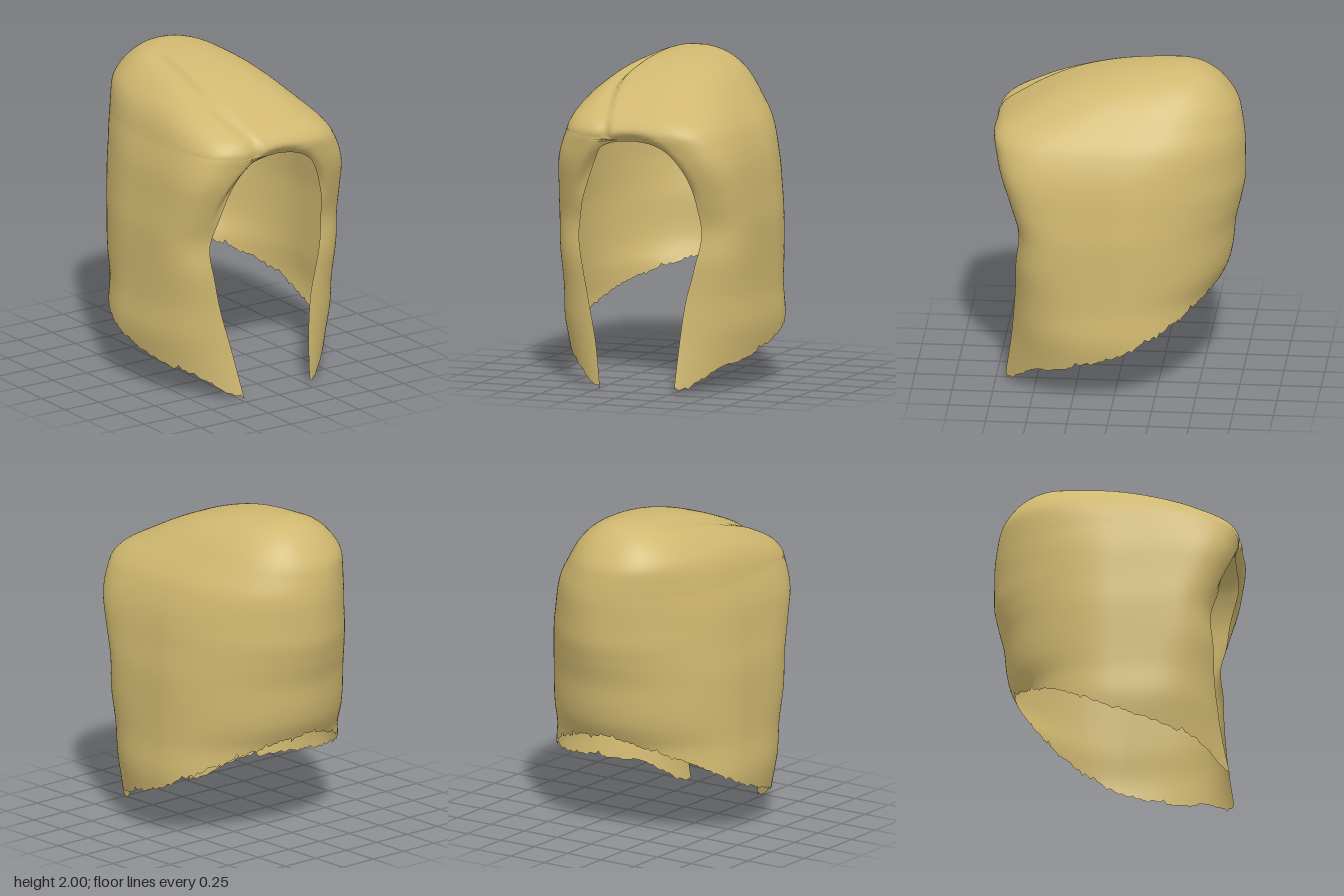
import * as THREE from 'three';
import { mergeVertices } from 'three/addons/utils/BufferGeometryUtils.js';

// Monotone cubic interpolation through [key, value] points
function curve(pts) {
  const n = pts.length;
  const sec = pts.slice(1).map((p, i) => (p[1] - pts[i][1]) / (p[0] - pts[i][0]));
  const m = pts.map((_, i) => {
    if (i === 0) return sec[0];
    if (i === n - 1) return sec[n - 2];
    const a = sec[i - 1], b = sec[i];
    return a * b <= 0 ? 0 : (2 * a * b) / (a + b);
  });
  return (k) => {
    if (k <= pts[0][0]) return pts[0][1];
    if (k >= pts[n - 1][0]) return pts[n - 1][1];
    let i = 0;
    while (k > pts[i + 1][0]) i++;
    const h = pts[i + 1][0] - pts[i][0], t = (k - pts[i][0]) / h;
    const t2 = t * t, t3 = t2 * t;
    return (2 * t3 - 3 * t2 + 1) * pts[i][1] + (t3 - 2 * t2 + t) * h * m[i]
      + (3 * t2 - 2 * t3) * pts[i + 1][1] + (t3 - t2) * h * m[i + 1];
  };
}
const { smoothstep } = THREE.MathUtils;

// Outline of the hair by height: half width, front, back, centre, sideways lean
const halfWidth = curve([[0, 0.6], [0.2, 0.635], [0.4, 0.66], [0.6, 0.645], [1, 0.64], [1.2, 0.62], [1.4, 0.595],
  [1.6, 0.535], [1.75, 0.455], [1.87, 0.35], [1.95, 0.23], [1.985, 0.12], [1.997, 0.05], [2, 0]]);
const front = curve([[0, 0.765], [0.15, 0.72], [0.35, 0.675], [0.6, 0.645], [0.8, 0.633], [1, 0.61], [1.2, 0.66],
  [1.4, 0.725], [1.5, 0.75], [1.6, 0.77], [1.66, 0.74], [1.75, 0.6], [1.85, 0.4], [1.92, 0.2], [1.965, 0],
  [1.99, -0.2], [2, -0.38]]);
const back = curve([[0.3, -0.56], [0.6, -0.6], [0.66, -0.63], [0.75, -0.67], [0.85, -0.69], [1, -0.705],
  [1.15, -0.74], [1.3, -0.765], [1.5, -0.763], [1.72, -0.73], [1.86, -0.65], [1.95, -0.55], [1.99, -0.45], [2, -0.38]]);
const centre = curve([[1.4, 0], [1.7, -0.05], [1.85, -0.15], [1.95, -0.27], [2, -0.38]]);
const lean = curve([[1.3, 0.01], [1.56, 0], [1.8, -0.04], [2, -0.04]]);

// Squareness of the front and back corners by height
const squareFront = curve([[0, 2], [0.3, 2.5], [0.6, 3.3], [0.95, 4.8], [1.35, 5.6], [1.6, 4.3], [1.8, 3], [2, 2.3]]);
const squareBack = curve([[0.3, 2.1], [0.8, 1.93], [1.35, 1.87], [1.65, 2.05], [1.85, 2.3], [2, 2.2]]);

// Half width of the face opening on each side, by height
const openLeft = curve([[0, 0.26], [0.3, 0.28], [0.55, 0.31], [0.75, 0.36], [0.98, 0.405], [1.15, 0.39],
  [1.3, 0.35], [1.45, 0.27], [1.51, 0.2], [1.545, 0.1], [1.556, 0]]);
const openRight = curve([[0, 0.225], [0.3, 0.28], [0.55, 0.34], [0.75, 0.38], [0.95, 0.41], [1.1, 0.385],
  [1.3, 0.32], [1.45, 0.25], [1.51, 0.21], [1.545, 0.12], [1.556, 0]]);

// Height of the cut hem by depth, and the path of the parting across the top
const hem = curve([[-0.7, 0.69], [-0.63, 0.62], [-0.45, 0.52], [-0.35, 0.47], [0, 0.32], [0.2, 0.26],
  [0.36, 0.2], [0.45, 0.185], [0.55, 0.12], [0.62, 0.05], [0.72, 0.02]]);
const parting = curve([[-0.36, -0.23], [0, -0.25], [0.25, -0.27], [0.5, -0.235], [0.77, -0.165]]);

const Y0 = 0.02, COLS = 200;

// Unit ring: pinched round at the back, squarer at the front
function ringPoint(phi, y) {
  const s = Math.sin(phi), c = -Math.cos(phi), n = c > 0 ? squareFront(y) : squareBack(y);
  const r = Math.pow(Math.abs(s) ** n + Math.abs(c) ** n, -1 / n);
  return [s * r, c * r];
}

// Angle, measured from the back, where the ring meets the opening
function endAngle(y, side) {
  const g = side > 0 ? openLeft(y) : openRight(y);
  if (g <= 0.001) return Math.PI;
  const n = squareFront(y), a = (g - side * lean(y)) / halfWidth(y);
  return Math.PI - Math.atan2(a, Math.pow(1 - a ** n, 1 / n));
}

function hairGeometry() {
  // Rows: even along the sides, close around the arch, easing into the crown
  const rows = [];
  for (let i = 0; i < 30; i++) rows.push(Y0 + (1.42 - Y0) * i / 30);
  rows.push(1.42, 1.45, 1.475, 1.495, 1.51, 1.525, 1.535, 1.545, 1.551);
  for (let i = 0; i <= 40; i++) rows.push(2 - 0.444 * (1 - i / 40) ** 1.8);

  let seed = 7;
  const random = () => (seed = (seed * 16807) % 2147483647) / 2147483647;
  const ragged = Array.from({ length: COLS + 1 }, (_, j) => (j % 5 === 0 ? 0.06 : 0.015) * (random() - 0.5));

  const pos = [], index = [];
  rows.forEach((Y, i) => {
    for (let j = 0; j <= COLS; j++) {
      const u = (2 * j) / COLS - 1, side = u < 0 ? -1 : 1, limit = endAngle(Y0, side);
      const low = hem(0.69 * ringPoint(Math.abs(u) * limit, 0.2)[1]);
      const end = hem(0.69 * ringPoint(limit, 0.2)[1]);
      let y = Y + (low - end) * (2 - Y) / (2 - Y0);
      if (i === 0) y = Math.max(0, y + ragged[j]);
      const [rx, rz] = ringPoint(u * endAngle(Y, side), y);
      const c = centre(y), x = rx * halfWidth(y) + lean(y);
      let z = c + rz * (rz > 0 ? front(y) - c : c - back(y));
      // Soft inward roll along the top of the opening
      if (z > 0.3 && y > 1.1) {
        const d = Math.max(0, Math.hypot(x / 0.4, (y - 1) / 0.555) - 1);
        z -= 0.045 * smoothstep(y, 1.1, 1.4) * Math.exp(-((d / 0.07) ** 2));
      }
      // Parting: a narrow groove, steeper on the larger side
      if (y > 1.45 && z > -0.4) {
        const d = x - parting(z), nose = smoothstep(z, 0.5, 0.75);
        const dent = 0.024 * smoothstep(z, -0.4, -0.1) * smoothstep(y, 1.45, 1.6)
          * Math.exp(-((d / (d < 0 ? 0.055 : 0.025)) ** 2));
        y -= dent * (1 - nose);
        z -= dent * nose;
      }
      pos.push(x, y, z);
    }
  });
  const w = COLS + 1;
  for (let i = 0; i < rows.length - 1; i++) {
    for (let j = 0; j < COLS; j++) {
      const a = i * w + j, b = a + 1, t = a + w;
      index.push(a, t, b, b, t, t + 1);
    }
  }
  let geo = new THREE.BufferGeometry();
  geo.setAttribute('position', new THREE.Float32BufferAttribute(pos, 3));
  geo.setIndex(index);
  geo = mergeVertices(geo, 1e-4);
  geo.computeVertexNormals();
  return geo;
}

export function createModel() {
  const group = new THREE.Group();
  group.name = 'bobHair';
  const blonde = new THREE.MeshStandardMaterial({ color: 0xd0b870, side: THREE.DoubleSide });
  blonde.name = 'blonde';
  const hair = new THREE.Mesh(hairGeometry(), blonde);
  hair.name = 'hair';
  group.add(hair);
  return group;
}
